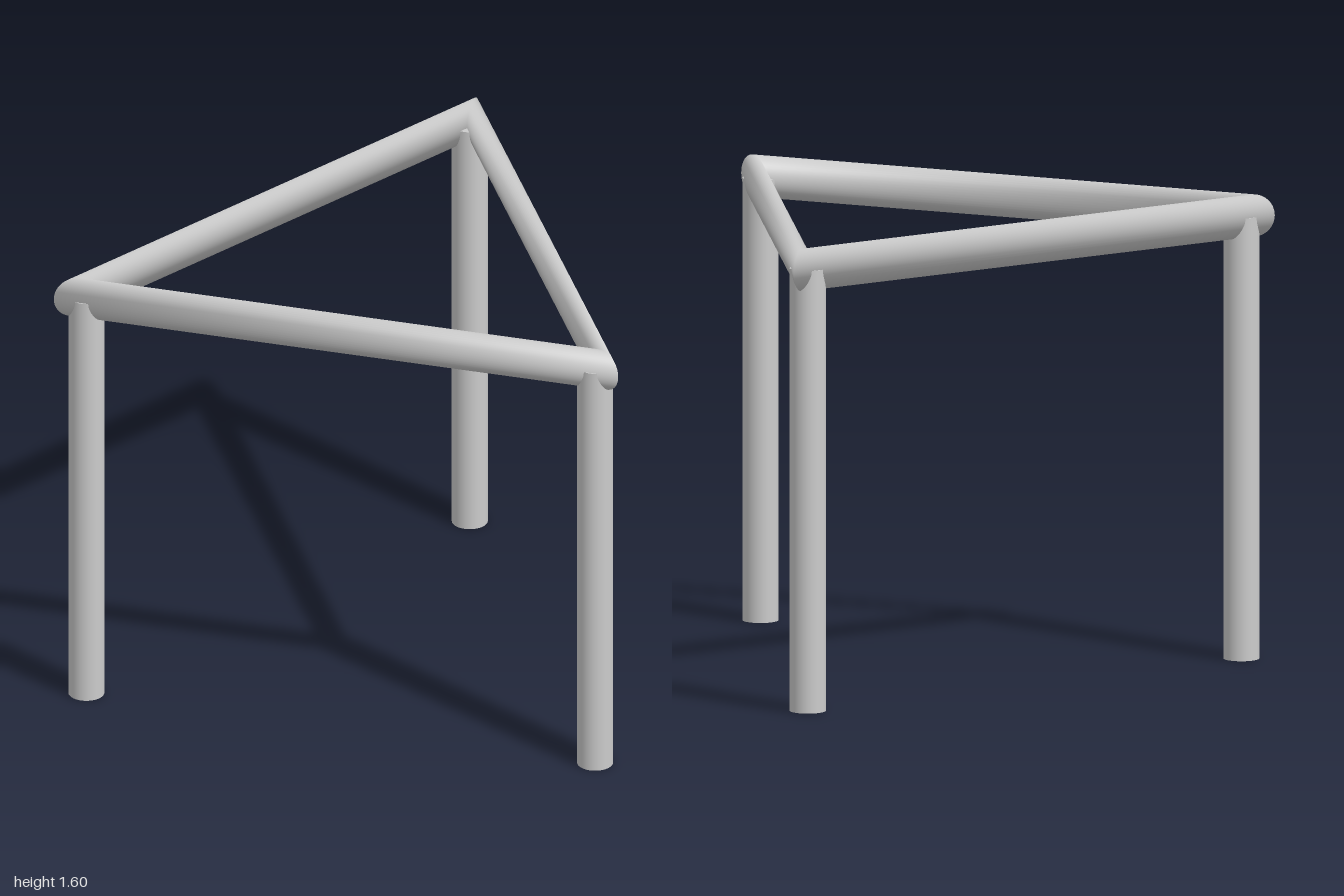
import * as THREE from 'three';

export function createModel() {
  const model = new THREE.Group();
  const material = new THREE.MeshStandardMaterial({ color: 0xcccccc });
  const centreZ = 0.289; // centroid of the triangular plan
  const ringY = 1.528;

  // Triangular top rail: a three-segment torus gives mitred, flattened tubes
  const railGeometry = new THREE.TorusGeometry(1.082, 0.073, 48, 3);
  railGeometry.rotateZ(-Math.PI / 2); // one corner points to the back
  railGeometry.rotateX(Math.PI / 2);
  const rail = new THREE.Mesh(railGeometry, material);
  rail.name = 'topRail';
  rail.position.set(0, ringY, centreZ);
  model.add(rail);

  // Three round legs, one under each corner
  const legGeometry = new THREE.CylinderGeometry(0.0615, 0.0615, ringY, 48);
  ['backLeg', 'frontLeftLeg', 'frontRightLeg'].forEach((name, i) => {
    const angle = -Math.PI / 2 + (i * Math.PI * 2) / 3;
    const leg = new THREE.Mesh(legGeometry, material);
    leg.name = name;
    leg.position.set(1.041 * Math.cos(angle), ringY / 2, centreZ + 1.041 * Math.sin(angle));
    model.add(leg);
  });

  return model;
}
